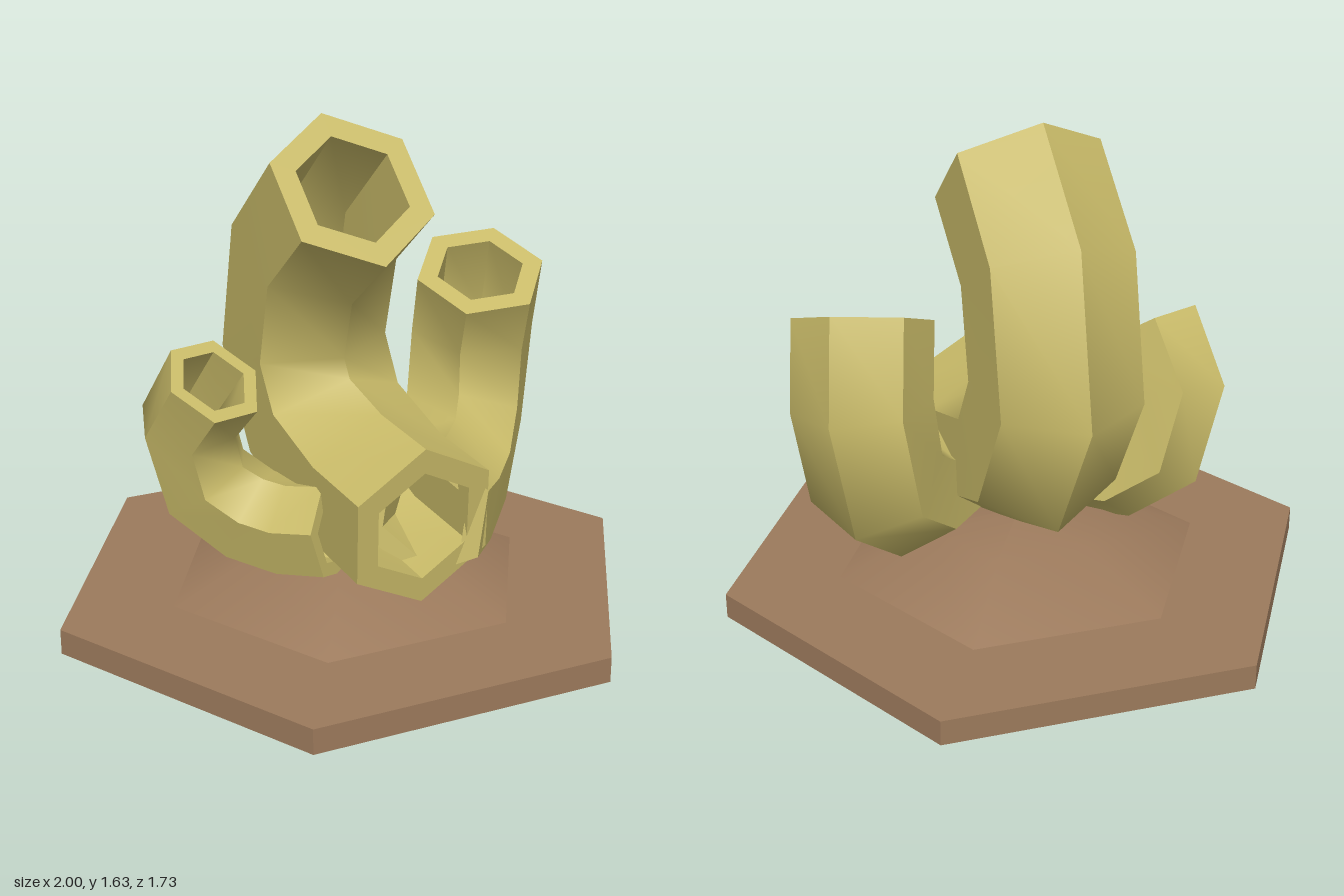
import * as THREE from 'three';
import { mergeGeometries } from 'three/addons/utils/BufferGeometryUtils.js';

const SIDES = 6;

// Band of quads between two polylines; smooth along its length, hard at its borders
function strip(a, b) {
  const pos = [], idx = [];
  a.forEach((p, i) => {
    pos.push(p.x, p.y, p.z, b[i].x, b[i].y, b[i].z);
    if (i < a.length - 1) {
      const k = 2 * i;
      idx.push(k, k + 1, k + 2, k + 1, k + 3, k + 2);
    }
  });
  const g = new THREE.BufferGeometry();
  g.setAttribute('position', new THREE.Float32BufferAttribute(pos, 3));
  g.setIndex(idx);
  g.computeVertexNormals();
  return g;
}

// Hollow hexagonal tube bent along a path lying close to one plane
function hollowTube(path, radius, inner) {
  const c = path.map(p => new THREE.Vector3(...p));
  const n = c.length;
  const planeNormal = new THREE.Vector3().crossVectors(
    c[n - 3].clone().sub(c[0]), c[n - 1].clone().sub(c[0])).normalize();
  const dir = i => c[i + 1].clone().sub(c[i]).normalize();

  const ring = (i, r) => {
    const t = i === 0 ? dir(0) : i === n - 1 ? dir(n - 2) : dir(i - 1).add(dir(i)).normalize();
    const u = new THREE.Vector3().crossVectors(planeNormal, t).normalize();
    const v = new THREE.Vector3().crossVectors(t, u);
    return Array.from({ length: SIDES }, (_, k) => {
      const a = k * 2 * Math.PI / SIDES;
      return c[i].clone().addScaledVector(u, r * Math.cos(a)).addScaledVector(v, r * Math.sin(a));
    });
  };
  const out = c.map((_, i) => ring(i, radius));
  const inn = c.map((_, i) => ring(i, inner));

  const parts = [];
  for (let k = 0; k < SIDES; k++) {
    const m = (k + 1) % SIDES;
    const e = n - 1;
    parts.push(
      strip(out.map(r => r[k]), out.map(r => r[m])),
      strip(inn.map(r => r[m]), inn.map(r => r[k])),
      strip([out[e][k], inn[e][k]], [out[e][m], inn[e][m]]),
      strip([out[0][m], inn[0][m]], [out[0][k], inn[0][k]]));
  }
  return mergeGeometries(parts);
}

function hexPoints(r) {
  return Array.from({ length: 6 }, (_, k) =>
    new THREE.Vector2(r * Math.cos(k * Math.PI / 3), r * Math.sin(k * Math.PI / 3)));
}

export function createModel() {
  const group = new THREE.Group();
  const olive = new THREE.MeshStandardMaterial({ color: 0xc8ba68 });
  olive.name = 'olive yellow';
  const brown = new THREE.MeshStandardMaterial({ color: 0x9c7a5c });
  brown.name = 'earth brown';

  const add = (name, geometry, material) => {
    const mesh = new THREE.Mesh(geometry, material);
    mesh.name = name;
    group.add(mesh);
  };

  // Hexagonal base plate, open underneath the mound
  const plate = new THREE.Shape(hexPoints(1));
  plate.holes.push(new THREE.Path(hexPoints(0.575).reverse()));
  add('basePlate', new THREE.ExtrudeGeometry(plate, { depth: 0.085, bevelEnabled: false })
    .rotateX(-Math.PI / 2), brown);

  // Low mound and its flat underside
  const profile = [[0.62, 0.085], [0.31, 0.22], [0, 0.25]].map(p => new THREE.Vector2(...p));
  add('mound', new THREE.LatheGeometry(profile, 6).rotateY(Math.PI / 6), brown);
  add('moundUnderside', new THREE.CircleGeometry(0.62, 6).rotateX(Math.PI / 2)
    .translate(0, 0.085, 0), brown);

  // Three bent tubes, each from its low front opening up to its mouth
  add('tallTube', hollowTube([
    [0.065, 0.425, 0.43], [0.035, 0.45, 0.13], [0, 0.57, -0.2],
    [-0.025, 0.82, -0.31], [-0.03, 1.19, -0.2], [-0.01, 1.43, 0.06],
  ], 0.275, 0.19), olive);

  add('leftTube', hollowTube([
    [0.13, 0.41, 0.31], [0.26, 0.37, 0.15], [0.4, 0.39, -0.02],
    [0.52, 0.53, -0.17], [0.565, 0.81, -0.21], [0.53, 1.05, -0.1],
  ], 0.22, 0.15), olive);

  add('rightTube', hollowTube([
    [-0.14, 0.36, 0.21], [-0.24, 0.335, 0.09], [-0.34, 0.355, -0.02],
    [-0.46, 0.46, -0.1], [-0.515, 0.68, -0.1], [-0.47, 0.855, 0.025],
  ], 0.165, 0.117), olive);

  return group;
}
